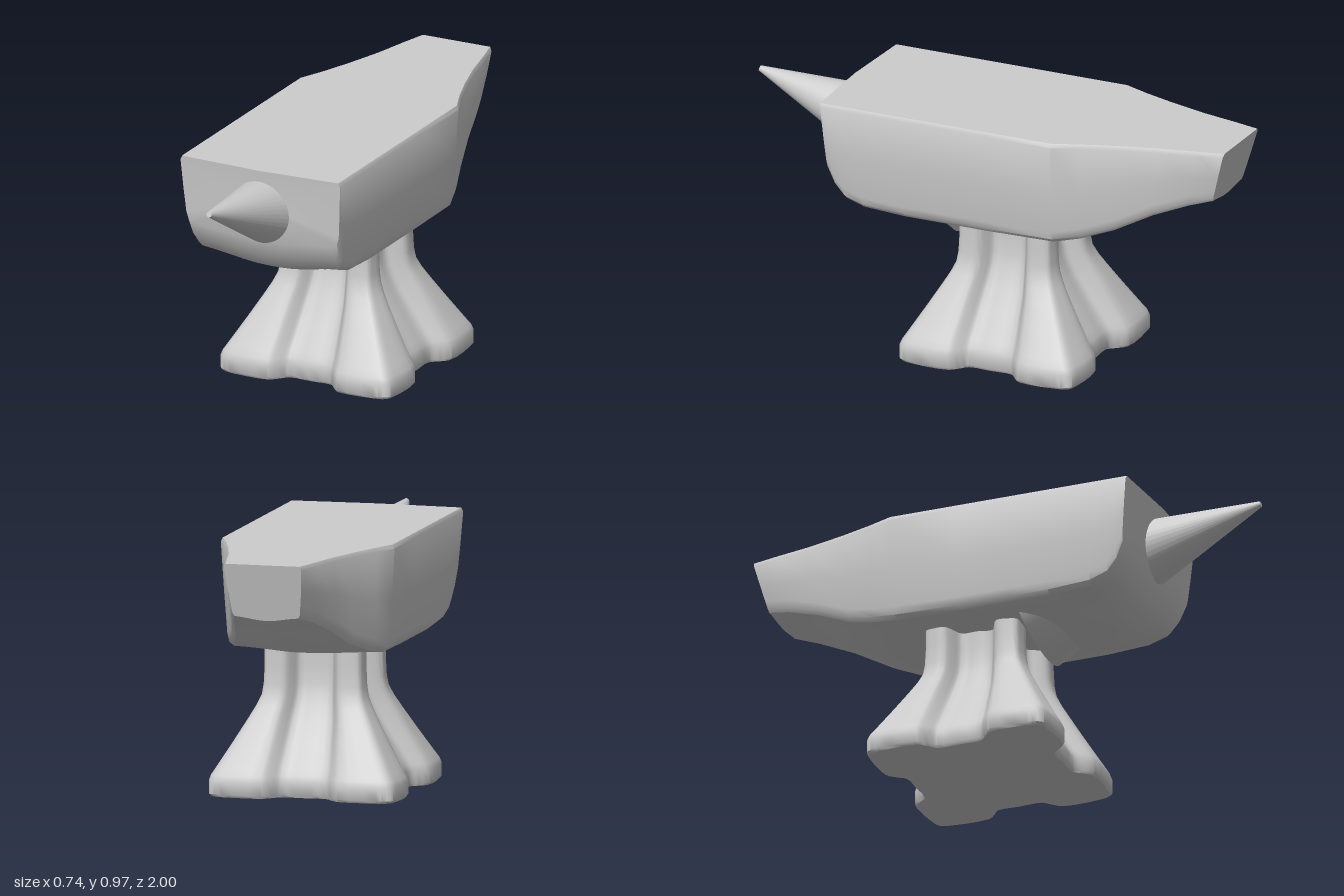
import * as THREE from 'three';
import { toCreasedNormals } from 'three/addons/utils/BufferGeometryUtils.js';

// Skin closed rings of equal length, cap both ends, and face the result outwards
function loft(rings, crease) {
  const n = rings[0].length;
  const pts = rings.flat();
  const tris = [];
  for (let r = 0; r < rings.length - 1; r++) {
    for (let i = 0; i < n; i++) {
      const a = r * n + i, b = r * n + (i + 1) % n;
      tris.push([a, b, b + n], [a, b + n, a + n]);
    }
  }
  [0, rings.length - 1].forEach((r, end) => {
    const centre = new THREE.Box3().setFromPoints(rings[r]).getCenter(new THREE.Vector3());
    const c = pts.push(centre) - 1;
    for (let i = 0; i < n; i++) {
      const a = r * n + i, b = r * n + (i + 1) % n;
      tris.push(end ? [a, b, c] : [b, a, c]);
    }
  });
  const cross = new THREE.Vector3();
  const volume = tris.reduce((v, [a, b, c]) => v + pts[a].dot(cross.crossVectors(pts[b], pts[c])), 0);
  if (volume < 0) tris.forEach((t) => t.reverse());
  const geometry = new THREE.BufferGeometry().setFromPoints(pts);
  geometry.setIndex(tris.flat());
  return toCreasedNormals(geometry, crease);
}

// One upright cross-section of the body, leaning from zTop to zBottom
function bodyRing([zTop, zBottom, w, wb, edgeY, centreY], index) {
  const top = 0.97;
  const half = [
    [w - 0.008, top], [w, top - 0.015], [(w + wb) / 2, (top + edgeY) / 2],
    [wb, edgeY + 0.045], [wb * 0.975, edgeY + 0.015], [wb * 0.92, edgeY],
  ];
  for (const t of [0.75, 0.55, 0.35, 0.18]) {
    half.push([wb * t, centreY + (edgeY - centreY) * (0.5 - 0.5 * Math.cos(Math.PI * t))]);
  }
  const outline = [...half, [0, centreY], ...half.slice().reverse().map(([x, y]) => [-x, y]), [0, top]];
  return outline.map(([x, y]) => {
    const z = THREE.MathUtils.lerp(zTop, zBottom, (top - y) / (top - centreY));
    const bulge = index < 3 ? 0.015 * (0.4 - (x / w) ** 2) : 0;
    return new THREE.Vector3(x - 0.006, y, z + bulge);
  });
}

// One level of the base: a square with four corner feet and a recess in each side
function baseRing([y, a, recess, h]) {
  const side = [
    [recess, -h * 0.8], [recess, 0], [recess, h * 0.8],
    [(a + recess) / 2, h * 1.05], [a, h * 1.35], [a, a * 0.82], [a * 0.96, a * 0.96], [a * 0.82, a], [h * 1.35, a],
    [h * 1.05, (a + recess) / 2],
  ];
  const points = [];
  for (let q = 0; q < 4; q++) {
    const c = Math.round(Math.cos(q * Math.PI / 2)), s = Math.round(Math.sin(q * Math.PI / 2));
    side.forEach(([x, z]) => points.push(new THREE.Vector3(x * c - z * s, y, x * s + z * c - 0.105)));
  }
  const curve = new THREE.CatmullRomCurve3(points, true, 'centripetal');
  return Array.from({ length: 120 }, (_, i) => curve.getPoint(i / 120));
}

export function createModel() {
  const model = new THREE.Group();
  const steel = new THREE.MeshStandardMaterial({ color: 0xcccccc });
  steel.name = 'steel grey';
  const add = (name, geometry) => {
    const mesh = new THREE.Mesh(geometry, steel);
    mesh.name = name;
    model.add(mesh);
    return mesh;
  };

  // Body: zTop, zBottom, top half width, lower half width, edge height, centre height
  const body = [
    [0.597, 0.57, 0.337, 0.322, 0.70, 0.68],
    [0.585, 0.54, 0.338, 0.317, 0.635, 0.615],
    [0.56, 0.50, 0.338, 0.314, 0.59, 0.56],
    [0.48, 0.42, 0.338, 0.312, 0.565, 0.525],
    [0.30, 0.25, 0.338, 0.312, 0.555, 0.485],
    [0.10, 0.10, 0.338, 0.312, 0.555, 0.51],
    [-0.10, -0.10, 0.338, 0.312, 0.555, 0.535],
    [-0.37, -0.36, 0.338, 0.315, 0.56, 0.545],
    [-0.47, -0.46, 0.297, 0.285, 0.58, 0.56],
    [-0.60, -0.58, 0.252, 0.24, 0.62, 0.59],
    [-0.75, -0.72, 0.208, 0.20, 0.69, 0.67],
    [-0.90, -0.85, 0.175, 0.165, 0.74, 0.72],
    [-1.00, -0.94, 0.15, 0.135, 0.765, 0.75],
  ];
  add('body', loft(body.map(bodyRing), 0.6));

  // Base: height, outer half width, recess distance, recess half width
  const base = [
    [0, 0.357, 0.298, 0.11], [0.01, 0.365, 0.305, 0.11], [0.06, 0.365, 0.305, 0.11],
    [0.08, 0.358, 0.298, 0.11], [0.105, 0.343, 0.283, 0.11], [0.20, 0.288, 0.225, 0.10],
    [0.28, 0.243, 0.178, 0.092], [0.33, 0.216, 0.155, 0.085], [0.37, 0.199, 0.14, 0.08],
    [0.41, 0.193, 0.13, 0.078], [0.48, 0.19, 0.125, 0.078], [0.58, 0.19, 0.125, 0.078],
  ];
  add('base', loft(base.map(baseRing), 0.75));

  // Horn: a long cone through the front whose wide end shows beneath the body
  const tip = new THREE.Vector3(-0.008, 0.922, 0.997);
  const root = new THREE.Vector3(-0.008, 0.67, 0.07);
  const axis = tip.clone().sub(root);
  const horn = add('horn', new THREE.CylinderGeometry(0.011, 0.25, axis.length(), 40));
  horn.position.copy(tip).add(root).multiplyScalar(0.5);
  horn.quaternion.setFromUnitVectors(new THREE.Vector3(0, 1, 0), axis.normalize());

  return model;
}
